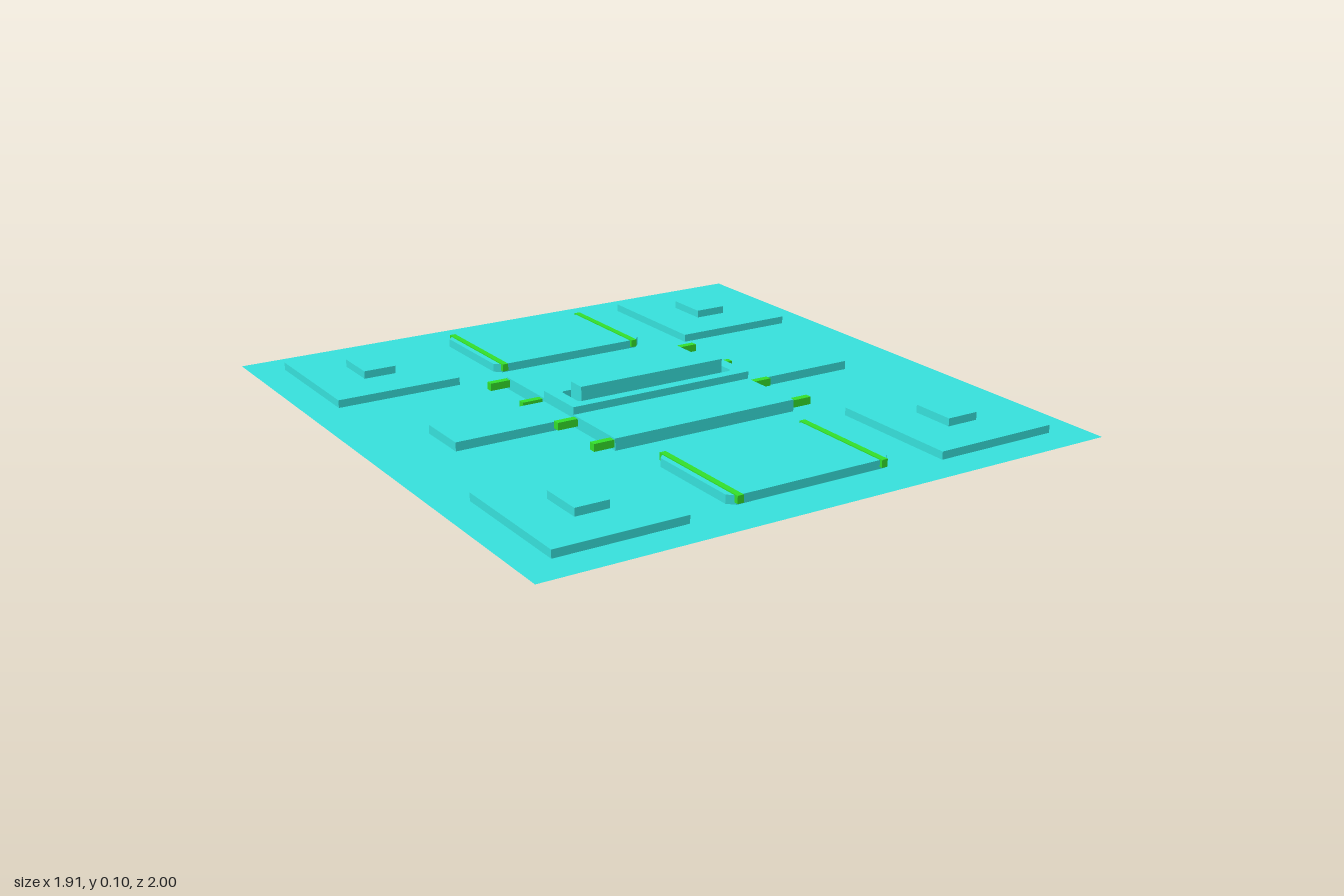
import * as THREE from 'three';
import { mergeGeometries } from 'three/addons/utils/BufferGeometryUtils.js';

const cyan = new THREE.MeshStandardMaterial({ color: 0x36dfda, side: THREE.DoubleSide });
const green = new THREE.MeshStandardMaterial({ color: 0x33dd2a, side: THREE.DoubleSide });

// Rectangle outline in x and z, with optional cut corners
function rect(x0, x1, z0, z1, c = 0) {
  const p = c
    ? [[x0 + c, z0], [x1 - c, z0], [x1, z0 + c], [x1, z1 - c], [x1 - c, z1], [x0 + c, z1], [x0, z1 - c], [x0, z0 + c]]
    : [[x0, z0], [x1, z0], [x1, z1], [x0, z1]];
  return p.map(([x, z]) => new THREE.Vector2(x, z));
}

// Flat sheet at height y with holes
function plate(outline, y, holes = []) {
  const shape = new THREE.Shape(outline.map(p => new THREE.Vector2(p.x, -p.y)));
  shape.holes = holes.map(h => new THREE.Path(h.map(p => new THREE.Vector2(p.x, -p.y))));
  return new THREE.ShapeGeometry(shape).rotateX(-Math.PI / 2).translate(0, y, 0);
}

// Upright walls along an outline
function walls(outline, y0, y1) {
  return outline.map((a, i) => {
    const b = outline[(i + 1) % outline.length];
    return new THREE.PlaneGeometry(a.distanceTo(b), y1 - y0)
      .rotateY(-Math.atan2(b.y - a.y, b.x - a.x) + Math.PI)
      .translate((a.x + b.x) / 2, (y0 + y1) / 2, (a.y + b.y) / 2);
  });
}

export function createModel() {
  const model = new THREE.Group();

  const add = (name, geometry, material = cyan) => {
    const mesh = new THREE.Mesh(geometry, material);
    mesh.name = name;
    model.add(mesh);
  };
  // Raised tray, open underneath
  const tray = (name, outline, y0, y1, holes = []) =>
    add(name, mergeGeometries([plate(outline, y1, holes), ...walls(outline, y0, y1)]));
  const box = (x0, x1, y0, y1, z0, z1) =>
    new THREE.BoxGeometry(x1 - x0, y1 - y0, z1 - z0)
      .translate((x0 + x1) / 2, (y0 + y1) / 2, (z0 + z1) / 2);

  const sheetHoles = [];

  // Corner pads with small caps
  for (const sx of [-1, 1]) {
    for (const sz of [-1, 1]) {
      const x = 0.64 * sx, z = 0.667 * sz;
      const pad = rect(x - 0.208, x + 0.208, z - 0.223, z + 0.223);
      const cap = rect(x - 0.054, x + 0.054, z - 0.073, z + 0.073);
      sheetHoles.push(pad);
      tray('cornerPad', pad, 0, 0.025, [cap]);
      tray('cornerCap', cap, 0.025, 0.05);
    }
  }

  // Front and back pads with green rails
  for (const sz of [-1, 1]) {
    const z = 0.667 * sz;
    const pad = rect(-0.278, 0.278, z - 0.183, z + 0.183, 0.022);
    sheetHoles.push(pad);
    tray('endPad', pad, 0, 0.027);
    for (const x of [-0.25, 0.245]) {
      add('padRail', box(x - 0.01, x + 0.01, 0.006, 0.03, z - 0.193, z + 0.193), green);
    }
  }

  // Central beam, cover with a slot, and the bar standing in the slot
  const bar = rect(-0.258, 0.258, -0.031, 0.031);
  const slot = rect(-0.28, 0.28, -0.054, 0.054, 0.008);
  const cover = rect(-0.32, 0.32, -0.09, 0.09);
  tray('beam', rect(-0.712, 0.712, -0.088, 0.088), 0, 0.028, [bar]);
  tray('cover', cover, 0.028, 0.062, [slot]);
  add('coverSlot', mergeGeometries(walls(slot, 0.028, 0.062)));
  tray('bar', bar, 0.028, 0.098);

  // Wing plates over green grilles
  for (const sz of [-1, 1]) {
    const [z0, z1] = sz > 0 ? [0.09, 0.33] : [-0.333, -0.09];
    tray('wing', rect(-0.32, 0.32, z0, z1), 0, 0.038);

    const [g0, g1] = sz > 0 ? [0.092, 0.325] : [-0.336, -0.1];
    const parts = [];
    // grille fins
    for (let i = 0; i < 14; i++) {
      const x = -0.293 + i * 0.045;
      parts.push(box(x - 0.011, x + 0.011, 0.004, 0.02, g0, g1));
    }
    // grille frame sides and cross bars
    parts.push(box(-0.318, -0.304, 0.004, 0.02, g0, g1), box(0.309, 0.323, 0.004, 0.02, g0, g1));
    parts.push(box(-0.318, 0.323, 0.006, 0.018, g0 + 0.002, g0 + 0.014));
    parts.push(box(-0.318, 0.323, 0.006, 0.018, g1 - 0.014, g1 - 0.002));
    add('grille', mergeGeometries(parts), green);

    // side tabs
    for (const z of [g0, g1 - 0.023]) {
      add('leftTab', box(0.315, 0.39, 0.009, 0.033, z, z + 0.023), green);
      add('rightTab', box(-0.388, -0.315, 0.009, 0.033, z, z + 0.023), green);
    }
  }

  // Ground sheet, cut out under every tray
  const cross = [
    [-0.712, -0.088], [-0.32, -0.088], [-0.32, -0.333], [0.32, -0.333], [0.32, -0.088], [0.712, -0.088],
    [0.712, 0.088], [0.32, 0.088], [0.32, 0.33], [-0.32, 0.33], [-0.32, 0.088], [-0.712, 0.088],
  ].map(([x, z]) => new THREE.Vector2(x, z));
  add('sheet', plate(rect(-0.955, 0.955, -1, 1), 0, [...sheetHoles, cross]));

  return model;
}
